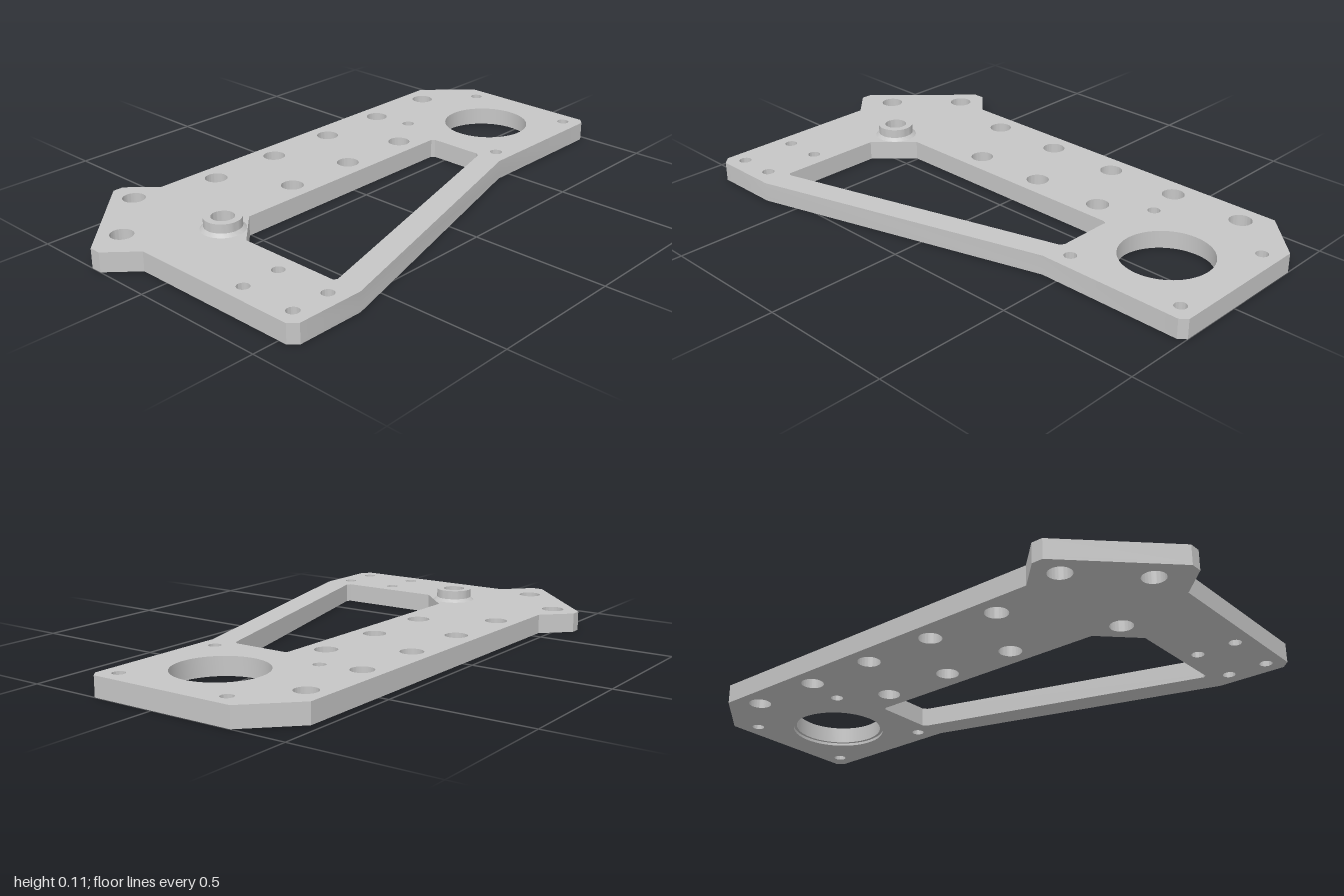
import * as THREE from 'three';
import { toCreasedNormals } from 'three/addons/utils/BufferGeometryUtils.js';

const THICK = 0.07, RECESS = 0.01;
const BOSS = [-0.057, 0.62];

// Plan coordinates are [x, z]; shapes are drawn with y = -z, counter-clockwise
const toPoints = (pts) => pts.map(([x, z]) => new THREE.Vector2(x, -z)).reverse();

const OUTLINE = [
  [-0.305, -1], [0.237, -1], [0.258, -0.975], [0.258, -0.44],
  [0.56, 0.627], [0.56, 0.874], [0.532, 0.902], [-0.113, 0.902],
  [-0.208, 1], [-0.25, 1], [-0.56, 0.685], [-0.56, 0.645],
  [-0.465, 0.55], [-0.465, -0.84],
];
const WINDOW = [
  [-0.06, -0.43], [-0.05, -0.44], [0.152, -0.44], [0.167, -0.428],
  [0.458, 0.618], [0.45, 0.63], [0.065, 0.63], [-0.06, 0.505],
];

// Bolt holes: [x, z, radius]
const HOLES = [[...BOSS, 0.04], [-0.46, 0.673, 0.04], [-0.26, 0.873, 0.04]];
for (let i = 0; i < 5; i++) HOLES.push([-0.385, -0.757 + i * 0.2815, 0.04]);
for (let i = 0; i < 3; i++) HOLES.push([-0.141, -0.334 + i * 0.2815, 0.04]);
for (const x of [-0.24, 0.195]) for (const z of [-0.937, -0.502]) HOLES.push([x, z, 0.022]);
for (const x of [0.285, 0.496]) for (const z of [0.698, 0.84]) HOLES.push([x, z, 0.022]);

// One layer of the plate, with a given radius for the large bore
function plateLayer(bottom, top, boreRadius) {
  const shape = new THREE.Shape(toPoints(OUTLINE));
  shape.holes.push(new THREE.Path(toPoints(WINDOW)));
  for (const [x, z, r] of [...HOLES, [-0.023, -0.72, boreRadius]]) {
    shape.holes.push(new THREE.Path().absarc(x, -z, r, 0, Math.PI * 2, true));
  }
  const geo = new THREE.ExtrudeGeometry(shape, {
    depth: top - bottom, bevelEnabled: false, curveSegments: 40,
  });
  geo.rotateX(-Math.PI / 2);
  geo.translate(0, bottom, 0);
  return toCreasedNormals(geo, 0.5);
}

export function createModel() {
  const group = new THREE.Group();
  group.name = 'mountingPlate';
  const metal = new THREE.MeshStandardMaterial({ color: 0xc6c6c6 });
  metal.name = 'light grey metal';

  const add = (name, geo) => {
    const mesh = new THREE.Mesh(geo, metal);
    mesh.name = name;
    group.add(mesh);
    return mesh;
  };

  // Plate, with a shallow recess round the large bore on the underside
  add('plate', plateLayer(RECESS, THICK, 0.16));
  add('plateUnderside', plateLayer(0, RECESS, 0.171));

  // Raised collar with a flared foot and a through hole
  const profile = [
    [0.077, THICK], [0.065, 0.081], [0.065, 0.113], [0.04, 0.113], [0.04, THICK],
  ].map(([r, y]) => new THREE.Vector2(r, y));
  const collar = add('collar', toCreasedNormals(new THREE.LatheGeometry(profile, 48), 0.5));
  collar.position.set(BOSS[0], 0, BOSS[1]);

  return group;
}
